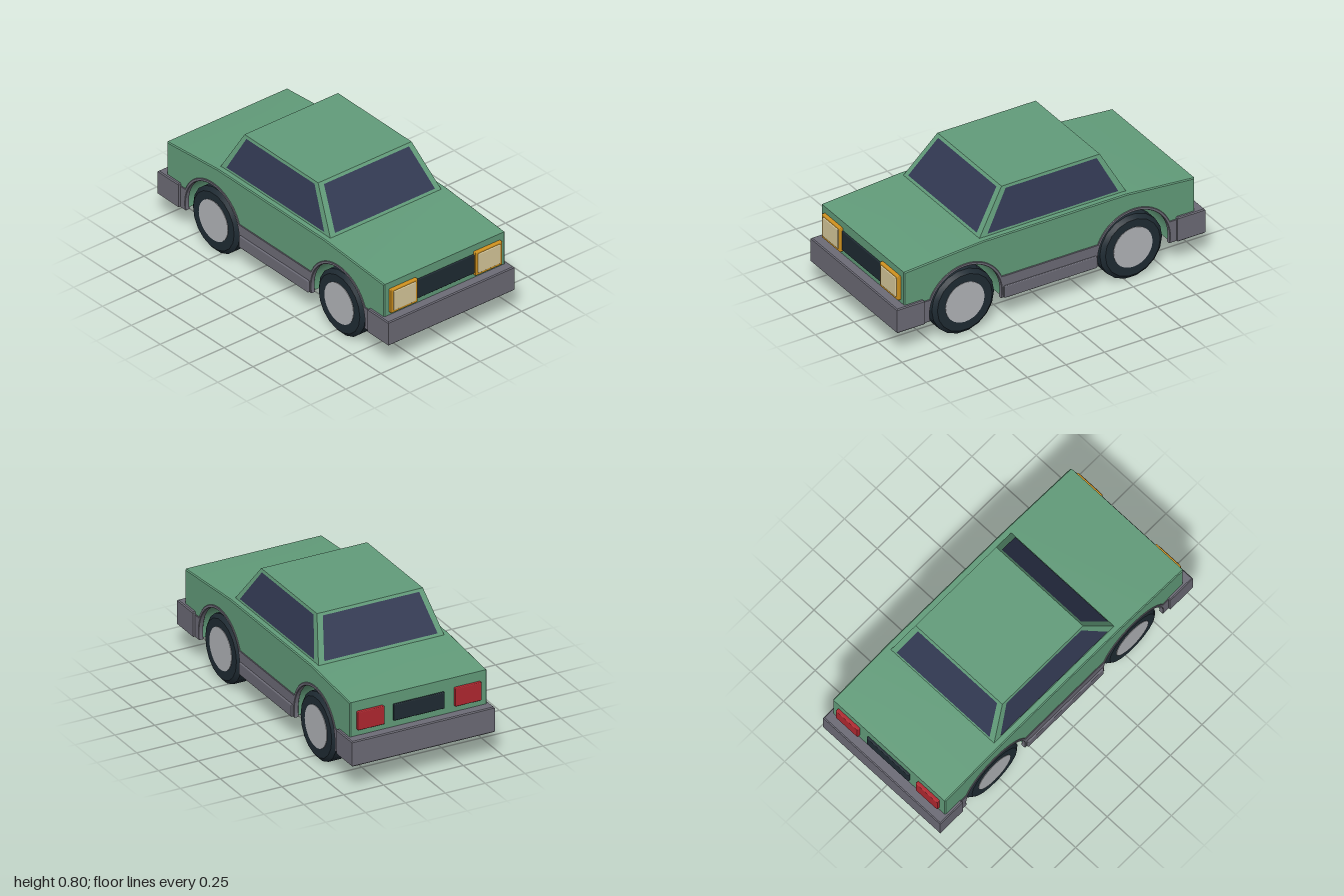
import * as THREE from 'three';
import { toCreasedNormals } from 'three/addons/utils/BufferGeometryUtils.js';
import { RoundedBoxGeometry } from 'three/addons/geometries/RoundedBoxGeometry.js';

const mat = (name, color) => {
  const m = new THREE.MeshStandardMaterial({ color });
  m.name = name;
  return m;
};

const AXLE_Z = 0.545, AXLE_Y = 0.205, HALF_W = 0.43;

export function createModel() {
  const paint = mat('green paint', 0x629c7a);
  const trim = mat('grey trim', 0x6c6b76);
  const dark = mat('dark rubber', 0x1f2b33);
  const glass = mat('window glass', 0x323953);
  const amber = mat('amber frame', 0xd0921f);
  const cream = mat('cream lens', 0xd9ca9c);
  const red = mat('red lens', 0xb0272f);
  const steel = mat('hub grey', 0xb2b4b8);

  const car = new THREE.Group();
  car.name = 'car';
  const add = (name, geometry, material, x = 0, y = 0, z = 0) => {
    const mesh = new THREE.Mesh(geometry, material);
    mesh.name = name;
    mesh.position.set(x, y, z);
    car.add(mesh);
    return mesh;
  };
  // Rounded box given by its limits
  const box = (name, material, x0, x1, y0, y1, z0, z1, r = 0.005) =>
    add(name, new RoundedBoxGeometry(x1 - x0, y1 - y0, z1 - z0, 2, r), material,
      (x0 + x1) / 2, (y0 + y1) / 2, (z0 + z1) / 2);

  // Extrude with bevelled edges that keep the outline size, centred on its depth
  const extrude = (shape, depth, bevel) => {
    const g = new THREE.ExtrudeGeometry(shape, {
      depth: depth - 2 * bevel, bevelEnabled: true, bevelThickness: bevel,
      bevelSize: bevel, bevelOffset: -bevel, bevelSegments: 1, curveSegments: 24,
    });
    return g.translate(0, 0, -(depth - 2 * bevel) / 2);
  };
  // Side profile drawn as (z, y), extruded across the car
  const across = (shape, width, bevel) =>
    toCreasedNormals(extrude(shape, width, bevel).rotateY(-Math.PI / 2), 0.5);

  // Wheel arch cut along the lower edge, drawn from rear to front
  const arch = (shape, z, r, y) => {
    const a = Math.asin((y - AXLE_Y) / r);
    shape.lineTo(z - r * Math.cos(a), y);
    shape.absarc(z, AXLE_Y, r, Math.PI - a, a, true);
  };

  // Lower body with both arches cut through
  const body = new THREE.Shape();
  body.moveTo(-0.942, 0.165);
  arch(body, -AXLE_Z, 0.242, 0.165);
  arch(body, AXLE_Z, 0.242, 0.165);
  body.lineTo(0.942, 0.165);
  body.lineTo(0.942, 0.525);
  body.lineTo(0.43, 0.562);
  body.lineTo(-0.5, 0.562);
  body.lineTo(-0.942, 0.525);
  body.closePath();
  add('body', across(body, HALF_W * 2, 0.006), paint);

  // Sill band and arch lips in one strip per side
  const band = new THREE.Shape();
  band.moveTo(-0.9, 0.16);
  arch(band, -AXLE_Z, 0.234, 0.16);
  arch(band, AXLE_Z, 0.234, 0.16);
  band.lineTo(0.9, 0.16);
  band.lineTo(0.9, 0.3);
  const lip = 0.252, lipA = Math.asin((0.3 - AXLE_Y) / lip);
  for (const z of [AXLE_Z, -AXLE_Z]) {
    band.lineTo(z + lip * Math.cos(lipA), 0.3);
    band.absarc(z, AXLE_Y, lip, lipA, Math.PI - lipA, false);
  }
  band.lineTo(-0.9, 0.3);
  band.closePath();
  const bandGeo = across(band, 0.03, 0.003);
  for (const s of [1, -1]) {
    add('sideTrim', bandGeo, trim, s * (HALF_W - 0.01));
    box('sill', trim, s * 0.4225 - 0.0225, s * 0.4225 + 0.0225, 0.16, 0.235, -0.3, 0.3);
  }
  box('chassis', dark, -0.31, 0.31, 0.167, 0.187, -0.7, 0.7);

  // Cabin: tapered shell of four sides and a roof, each side with a window
  const quad = (c) => {
    const g = new THREE.BufferGeometry().setFromPoints([c[0], c[1], c[2], c[0], c[2], c[3]]);
    g.computeVertexNormals();
    return g;
  };
  const v = (x, y, z) => new THREE.Vector3(x, y, z);
  const base = [v(-0.395, 0.558, 0.435), v(0.395, 0.558, 0.435), v(0.395, 0.558, -0.52), v(-0.395, 0.558, -0.52)];
  const top = [v(-0.332, 0.808, 0.25), v(0.332, 0.808, 0.25), v(0.332, 0.808, -0.388), v(-0.332, 0.808, -0.388)];
  add('roof', quad(top), paint);
  ['front', 'left', 'rear', 'right'].forEach((side, i) => {
    const j = (i + 1) % 4;
    const c = [base[i], base[j], top[j], top[i]];
    add(side + 'CabinSide', quad(c), paint);
    const normal = c[1].clone().sub(c[0]).cross(c[3].clone().sub(c[0])).normalize();
    const at = (u, h) => c[0].clone().lerp(c[1], u)
      .lerp(c[3].clone().lerp(c[2], u), h).addScaledVector(normal, 0.004);
    add(side + 'Window', quad([at(0.045, 0.07), at(0.955, 0.07), at(0.95, 0.94), at(0.05, 0.94)]), glass);
  });

  // Bumpers: a U that wraps round each end
  const u = new THREE.Shape();
  [[-0.448, 0.82], [-0.448, 1], [0.448, 1], [0.448, 0.82], [0.42, 0.82], [0.42, 0.93], [-0.42, 0.93], [-0.42, 0.82]]
    .forEach(([x, z], i) => (i ? u.lineTo(x, z) : u.moveTo(x, z)));
  u.closePath();
  const bumperGeo = toCreasedNormals(extrude(u, 0.155, 0.006).rotateX(Math.PI / 2), 0.5);
  add('frontBumper', bumperGeo, trim, 0, 0.2375, 0);
  add('rearBumper', bumperGeo, trim, 0, 0.2375, 0).rotation.y = Math.PI;

  // Front and rear lights
  box('grille', dark, -0.21, 0.21, 0.345, 0.468, 0.92, 0.95);
  box('rearPanel', dark, -0.16, 0.16, 0.355, 0.455, -0.955, -0.92);
  for (const s of [1, -1]) {
    const x = s * 0.3;
    box('headlightFrame', amber, x - 0.095, x + 0.095, 0.333, 0.485, 0.92, 0.962);
    box('headlightLens', cream, x - 0.079, x + 0.079, 0.348, 0.473, 0.93, 0.967);
    box('tailLight', red, s * 0.305 - 0.083, s * 0.305 + 0.083, 0.353, 0.465, -0.962, -0.92);
  }

  // Wheels: bevelled faceted tyre with a plain disc on both faces
  const tyreGeo = toCreasedNormals(new THREE.LatheGeometry(
    [[0.12, -0.06], [0.178, -0.06], [0.202, -0.04], [0.202, 0.04], [0.178, 0.06], [0.12, 0.06]]
      .map(([r, y]) => new THREE.Vector2(r, y)), 18), 0.3).rotateZ(Math.PI / 2);
  const hubGeo = new THREE.CylinderGeometry(0.126, 0.126, 0.126, 28).rotateZ(Math.PI / 2);
  for (const x of [-0.363, 0.363]) {
    for (const z of [-AXLE_Z, AXLE_Z]) {
      add('tyre', tyreGeo, dark, x, 0.202, z);
      add('hub', hubGeo, steel, x, 0.205, z);
    }
  }
  return car;
}
